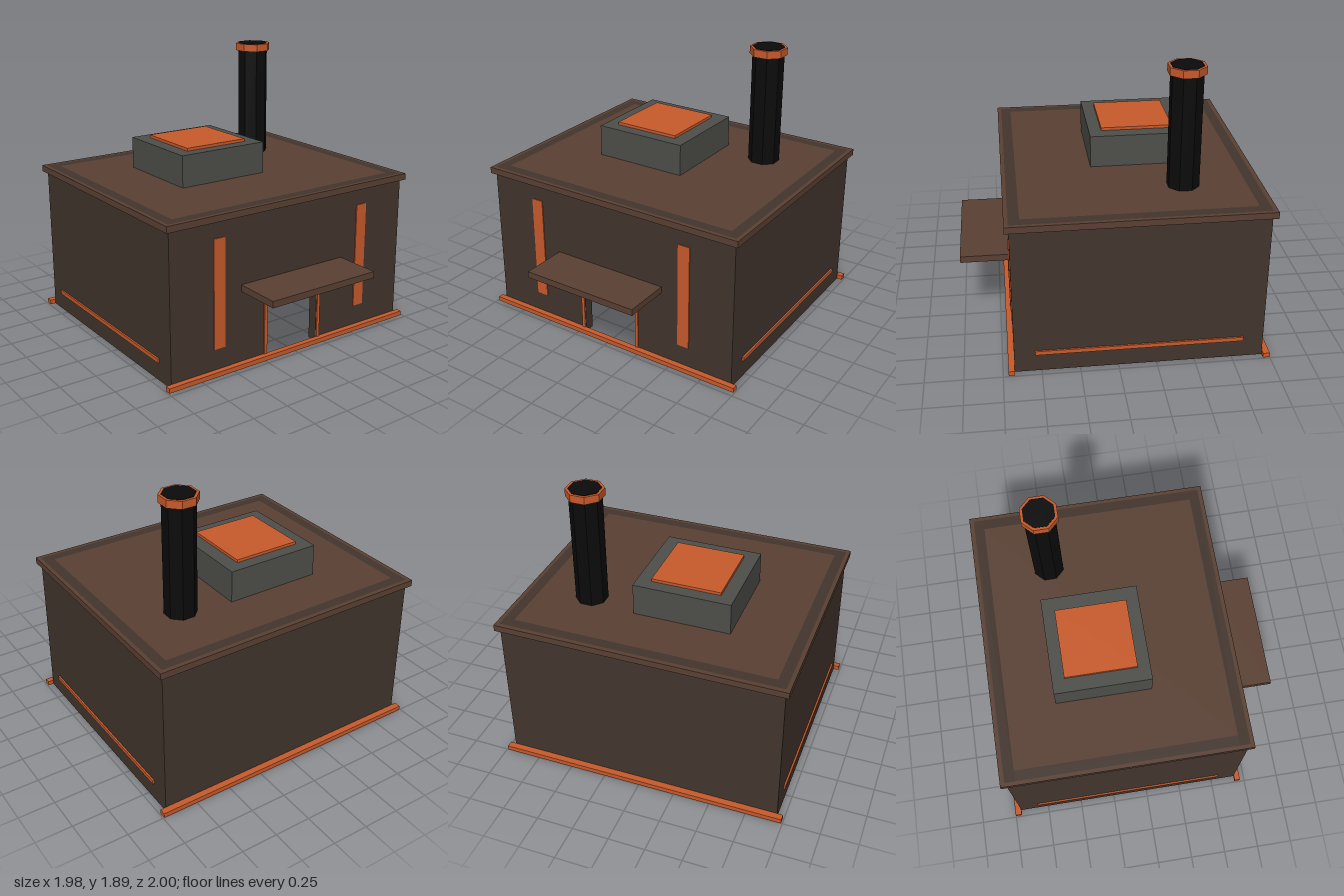
import * as THREE from 'three';

const material = (name, color) => {
  const m = new THREE.MeshStandardMaterial({ color });
  m.name = name;
  return m;
};

export function createModel() {
  const wall = material('dark brown wall', 0x42352d);
  const roof = material('brown roof', 0x5a4033);
  const orange = material('rust orange', 0xc85a2b);
  const grey = material('grey metal', 0x4e4f4a);
  const black = material('black pipe', 0x0b0b0b);

  const model = new THREE.Group();
  model.name = 'workshop';

  const add = (name, geometry, mat) => {
    const mesh = new THREE.Mesh(geometry, mat);
    mesh.name = name;
    model.add(mesh);
    return mesh;
  };
  // Box given by its lower and upper limits on each axis
  const box = (name, mat, [x0, x1], [y0, y1], [z0, z1]) =>
    add(name, new THREE.BoxGeometry(x1 - x0, y1 - y0, z1 - z0), mat)
      .position.set((x0 + x1) / 2, (y0 + y1) / 2, (z0 + z1) / 2);

  // Shell limits
  const W = 0.953, T = 0.07, H = 1.072, F = 0.675, B = -0.955;

  // Front wall with an open doorway
  const front = new THREE.Shape([[-W, 0], [-0.21, 0], [-0.21, 0.45], [0.21, 0.45], [0.21, 0], [W, 0], [W, H], [-W, H]]
    .map(([x, y]) => new THREE.Vector2(x, y)));
  add('frontWall', new THREE.ExtrudeGeometry(front, { depth: T, bevelEnabled: false }), wall).position.z = F - T;

  // Back and side walls; the underside stays open
  box('backWall', wall, [-W, W], [0, H], [B, B + T]);
  for (const [side, s] of [['left', 1], ['right', -1]]) {
    const span = (a, b) => (s > 0 ? [a, b] : [-b, -a]);
    box(side + 'Wall', wall, span(W - T, W), [0, H], [B + T, F - T]);
    box(side + 'RoofTrim', roof, span(W, 0.98), [1.028, H], [B, F]);
    box(side + 'SideStripe', orange, span(W, 0.965), [0.125, 0.153], [-0.82, 0.54]);
    box(side + 'FrontPanel', orange, span(0.547, 0.632), [0.175, 0.915], [F, F + 0.006]);
    box(side + 'DoorPost', orange, span(0.213, 0.236), [0.03, 0.475], [F, F + 0.008]);
  }
  box('doorLintel', orange, [-0.213, 0.213], [0.454, 0.475], [F, F + 0.008]);

  // Roof slab and the front and back trim
  box('roofSlab', roof, [-W + T, W - T], [1.04, H], [B + T, F - T]);
  box('frontRoofTrim', roof, [-0.98, 0.98], [1.028, H], [F, 0.702]);
  box('backRoofTrim', roof, [-0.98, 0.98], [1.028, H], [-0.985, B]);

  // Base strips and canopy
  box('frontBaseStrip', orange, [-0.992, 0.992], [0, 0.032], [F, 0.715]);
  box('backBaseStrip', orange, [-0.992, 0.992], [0, 0.032], [-1, B]);
  box('canopy', roof, [-0.42, 0.42], [0.52, 0.565], [F, 1]);

  // Roof vent with its hatch
  box('ventBox', grey, [-0.477, 0.188], [H, 1.292], [-0.553, 0.098]);
  box('ventHatch', orange, [-0.383, 0.09], [1.292, 1.312], [-0.47, 0.014]);

  // Eight-sided chimney, flat sides facing the axes
  const octagon = (name, mat, apothem, y0, y1) => {
    const r = apothem / Math.cos(Math.PI / 8);
    const g = new THREE.CylinderGeometry(r, r, y1 - y0, 8).toNonIndexed();
    g.rotateY(Math.PI / 8);
    g.computeVertexNormals();
    add(name, g, mat).position.set(0.522, (y0 + y1) / 2, -0.47);
  };
  octagon('chimney', black, 0.1, 1.05, 1.892);
  octagon('chimneyRim', orange, 0.117, 1.837, 1.889);

  return model;
}
